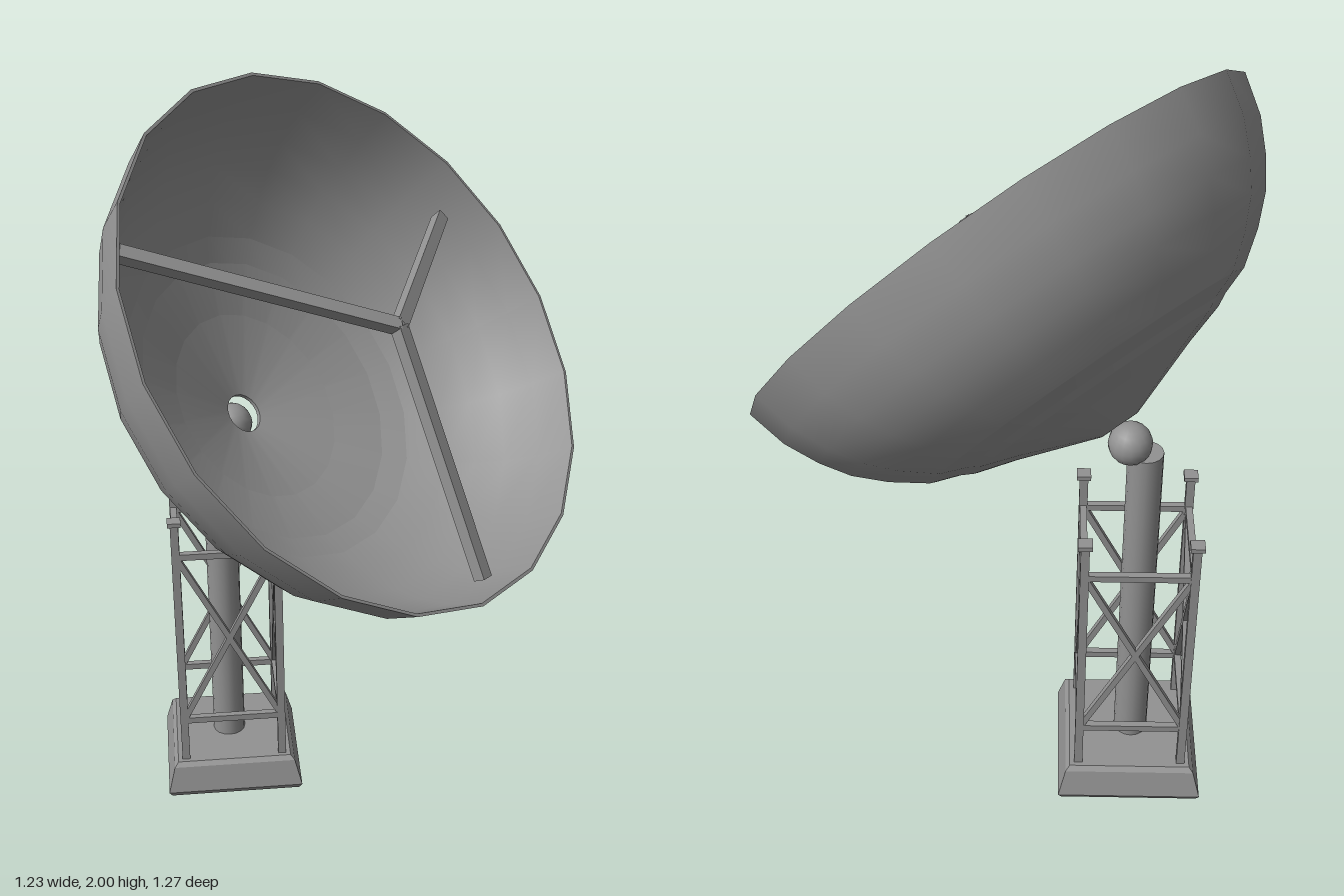
import * as THREE from 'three';

const grey = new THREE.MeshStandardMaterial({ color: 0x929292 });
const flat = new THREE.MeshStandardMaterial({ color: 0x929292, flatShading: true });
const shell = new THREE.MeshStandardMaterial({ color: 0x929292, side: THREE.DoubleSide });
const V = (x, y, z) => new THREE.Vector3(x, y, z);

function add(parent, name, geometry, material = grey) {
  const mesh = new THREE.Mesh(geometry, material);
  mesh.name = name;
  parent.add(mesh);
  return mesh;
}

// Square bar between two points, one pair of sides facing "up"
function beam(parent, name, a, b, width, up = V(0, 0, 1)) {
  const bar = add(parent, name, new THREE.BoxGeometry(width, width, a.distanceTo(b)));
  const along = b.clone().sub(a).normalize();
  const side = new THREE.Vector3().crossVectors(up, along).normalize();
  const top = new THREE.Vector3().crossVectors(along, side);
  bar.quaternion.setFromRotationMatrix(new THREE.Matrix4().makeBasis(side, top, along));
  bar.position.copy(a).add(b).multiplyScalar(0.5);
}

function lathe(points, segments, start) {
  return new THREE.LatheGeometry(points.map(p => new THREE.Vector2(...p)), segments, start);
}

// Foot, mast and lattice frame, centred on the mast
function createTower() {
  const tower = new THREE.Group();
  tower.name = 'tower';
  tower.position.set(-0.332, 0, -0.268);

  const s = Math.SQRT2;
  const foot = [[0, 0], [0.182, 0], [0.19, 0.015], [0.171, 0.088], [0.16, 0.1], [0, 0.1]];
  add(tower, 'base', lathe(foot.map(([r, y]) => [r * s, y]), 4, Math.PI / 4), flat);

  const mast = add(tower, 'mast', new THREE.CylinderGeometry(0.045, 0.045, 0.97, 16));
  mast.position.set(-0.007, 0.565, -0.003);

  const h = 0.137, low = 0.23, high = 0.76;
  for (let i = 0; i < 4; i++) {
    const side = new THREE.Group();
    side.name = 'towerSide';
    side.rotation.y = i * Math.PI / 2;
    tower.add(side);
    const leg = add(side, 'leg', new THREE.BoxGeometry(0.022, 0.77, 0.022));
    leg.position.set(h, 0.475, h);
    const cap = add(side, 'legCap', new THREE.BoxGeometry(0.036, 0.012, 0.036));
    cap.position.set(h, 0.864, h);
    for (const y of [low, high]) beam(side, 'crossbar', V(-h, y, h), V(h, y, h), 0.018);
    beam(side, 'brace', V(-h, low, h), V(h, high, h), 0.016);
    beam(side, 'brace', V(h, low, h), V(-h, high, h), 0.016);
  }
  return tower;
}

// Reflector, built along its own y axis and tilted to face the sky
function createDish(center, axis) {
  const dish = new THREE.Group();
  dish.name = 'dish';
  const up = V(0, 1, 0).addScaledVector(axis, -axis.y).normalize();
  const across = new THREE.Vector3().crossVectors(axis, up);
  dish.quaternion.setFromRotationMatrix(new THREE.Matrix4().makeBasis(across, axis, up));
  dish.position.copy(center);

  const part = (name, points) => add(dish, name, lathe(points, 20, -0.19), shell);
  // Outer shell: shallow cone with a centre hole, then a rounded wall up to the rim
  const wall = [[0.46, -0.378], [0.54, -0.32], [0.605, -0.258], [0.652, -0.19], [0.695, -0.105], [0.723, 0]];
  part('backCone', [[0.053, -0.519], wall[0]]);
  part('backShell', wall);
  part('rim', [[0.723, 0], [0.715, 0]]);
  // Inner face, running from the rim back to the centre hole
  const inner = wall.map(([r, y]) => [r - 0.008, y === 0 ? 0 : y + 0.008]).reverse();
  part('innerBowl', inner);
  part('innerBand', [inner[inner.length - 1], [0.36, -0.418]]);
  part('innerCone', [[0.36, -0.418], [0.053, -0.508]]);
  part('holeEdge', [[0.053, -0.508], [0.053, -0.519]]);
  return dish;
}

export function createModel() {
  const model = new THREE.Group();
  model.name = 'dishAntenna';
  const center = V(0.025, 1.443, 0.02);
  const axis = V(0.575, 0.63, 0.52).normalize();

  model.add(createTower(), createDish(center, axis));

  // Ball joint between mast and reflector, seated in the hole
  const ball = add(model, 'ballJoint', new THREE.SphereGeometry(0.055, 16, 12));
  ball.position.set(-0.3, 1.08, -0.275);

  // Three struts meeting at the focus
  const focus = V(0.1, 1.485, 0.075);
  for (const end of [V(-0.56, 1.74, 0.19), V(0.3, 1.53, -0.575), V(0.285, 0.9, 0.305)]) {
    beam(model, 'feedStrut', focus, end, 0.033, axis);
  }
  return model;
}
